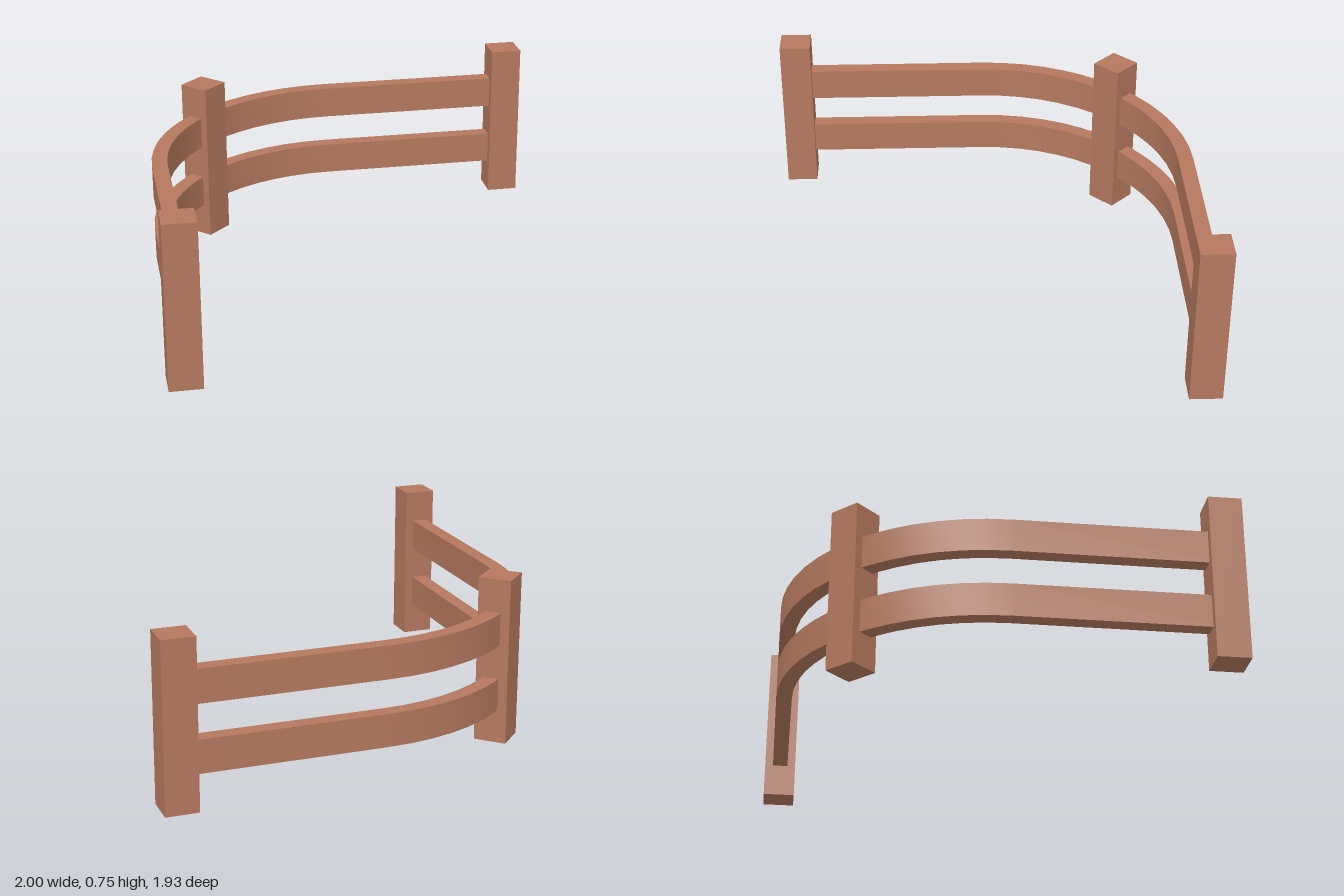
import * as THREE from 'three';
import { toCreasedNormals } from 'three/addons/utils/BufferGeometryUtils.js';

const R = 0.908;          // bend radius and straight length
const POST = 0.146;       // post width
const POST_H = 0.75;
const RAIL_T = 0.07;      // rail thickness
const RAIL_H = 0.148;

export function createModel() {
  const wood = new THREE.MeshStandardMaterial({ color: 0xb5795e });
  wood.name = 'wood';

  const fence = new THREE.Group();
  fence.name = 'curvedFence';

  // Square posts: one at each end and one turned at the middle of the bend
  const addPost = (name, x, z, turn) => {
    const post = new THREE.Mesh(new THREE.BoxGeometry(POST, POST_H, POST), wood);
    post.name = name;
    post.position.set(x, POST_H / 2, z);
    post.rotation.y = turn;
    fence.add(post);
  };
  const m = R * Math.SQRT1_2;
  addPost('leftEndPost', R, -R, 0);
  addPost('middlePost', -m, -m, Math.PI / 4);
  addPost('rightEndPost', -R, R, 0);

  // Rail plan: straight, quarter bend, straight; ends sit inside the posts
  const outer = R + RAIL_T / 2;
  const inner = R - RAIL_T / 2;
  const end = R - 0.02;
  const plan = new THREE.Shape();
  plan.moveTo(end, outer);
  plan.lineTo(0, outer);
  plan.absarc(0, 0, outer, Math.PI / 2, Math.PI, false);
  plan.lineTo(-outer, -end);
  plan.lineTo(-inner, -end);
  plan.lineTo(-inner, 0);
  plan.absarc(0, 0, inner, Math.PI, Math.PI / 2, true);
  plan.lineTo(end, inner);
  plan.closePath();

  const extruded = new THREE.ExtrudeGeometry(plan, { depth: RAIL_H, bevelEnabled: false, curveSegments: 7 });
  extruded.rotateX(-Math.PI / 2);
  const railGeometry = toCreasedNormals(extruded, Math.PI / 6);

  // Lower and upper rails
  [['lowerRail', 0.151], ['upperRail', 0.452]].forEach(([name, y]) => {
    const rail = new THREE.Mesh(railGeometry, wood);
    rail.name = name;
    rail.position.y = y;
    fence.add(rail);
  });

  // The whole fence is turned very slightly
  fence.rotation.y = -0.0187;

  const model = new THREE.Group();
  model.name = 'fenceCorner';
  model.add(fence);
  return model;
}
